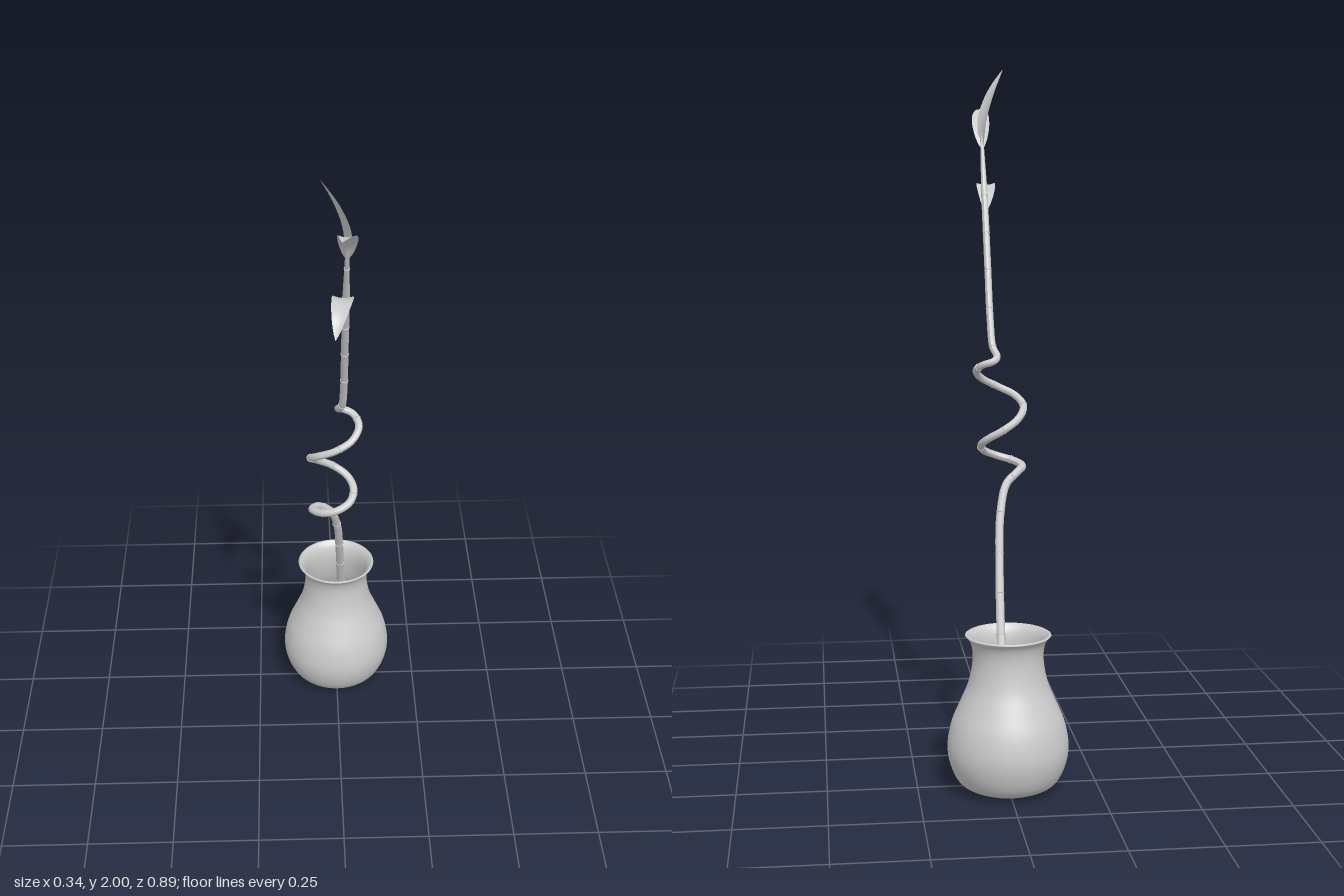
import * as THREE from 'three';

const grey = new THREE.MeshStandardMaterial({ color: 0xcccccc });
const greyThin = new THREE.MeshStandardMaterial({ color: 0xcccccc, side: THREE.DoubleSide });
const V = (x, y, z) => new THREE.Vector3(x, y, z);

function add(parent, name, geometry, material = grey) {
  const mesh = new THREE.Mesh(geometry, material);
  mesh.name = name;
  parent.add(mesh);
  return mesh;
}

// Tube whose radius follows a rule along its length
function taperedTube(curve, segments, sides, radiusAt) {
  const geo = new THREE.TubeGeometry(curve, segments, 1, sides, false);
  const pos = geo.attributes.position;
  const p = V(0, 0, 0), c = V(0, 0, 0);
  for (let i = 0; i < pos.count; i++) {
    const t = Math.floor(i / (sides + 1)) / segments;
    curve.getPointAt(t, c);
    p.fromBufferAttribute(pos, i).sub(c).multiplyScalar(radiusAt(t)).add(c);
    pos.setXYZ(i, p.x, p.y, p.z);
  }
  geo.computeVertexNormals();
  return geo;
}

// Curved blade: a spine, a sideways direction, pointed at both ends, slightly folded
function leafGeometry(spine, side, halfWidth) {
  const curve = new THREE.CatmullRomCurve3(spine);
  const rows = 16, cols = 4, verts = [], index = [];
  for (let i = 0; i <= rows; i++) {
    const t = i / rows;
    const c = curve.getPointAt(t), tan = curve.getTangentAt(t);
    const s = side.clone().addScaledVector(tan, -side.dot(tan)).normalize();
    const n = V(0, 0, 0).crossVectors(tan, s);
    const w = halfWidth * Math.pow(Math.sin(Math.PI * Math.pow(0.04 + 0.96 * t, 0.9)), 0.8) || 0;
    for (let j = 0; j <= cols; j++) {
      const u = (j / cols) * 2 - 1;
      const p = c.clone().addScaledVector(s, u * w).addScaledVector(n, u * u * w * 0.2);
      verts.push(p.x, p.y, p.z);
      if (i < rows && j < cols) {
        const a = i * (cols + 1) + j, b = a + cols + 1;
        index.push(a, a + 1, b, a + 1, b + 1, b);
      }
    }
  }
  const geo = new THREE.BufferGeometry();
  geo.setAttribute('position', new THREE.Float32BufferAttribute(verts, 3));
  geo.setIndex(index);
  geo.computeVertexNormals();
  return geo;
}

function createVase() {
  const vase = new THREE.Group();
  vase.name = 'vase';
  // Outer wall from the foot to the flared rim
  const outer = new THREE.SplineCurve([
    [0.095, 0.004], [0.135, 0.025], [0.159, 0.07], [0.168, 0.125], [0.157, 0.19], [0.132, 0.25],
    [0.111, 0.3], [0.1, 0.35], [0.098, 0.39], [0.105, 0.42], [0.119, 0.438],
  ].map(([r, y]) => new THREE.Vector2(r, y))).getPoints(44);
  const inner = outer.slice(2).reverse().map((p) => new THREE.Vector2(p.x - 0.005, p.y + 0.003));
  const profile = [new THREE.Vector2(0, 0), new THREE.Vector2(0.08, 0), ...outer, ...inner, new THREE.Vector2(0, 0.012)];
  add(vase, 'vaseBody', new THREE.LatheGeometry(profile, 64));

  // Uneven fill that holds the stem
  const fill = new THREE.RingGeometry(0.001, 0.163, 40, 10).rotateX(-Math.PI / 2);
  const pos = fill.attributes.position;
  for (let i = 0; i < pos.count; i++) {
    const x = pos.getX(i), z = pos.getZ(i);
    pos.setY(i, 0.12 + 0.003 * Math.sin(x * 130 + z * 60) * Math.cos(z * 150 - x * 40));
  }
  fill.computeVertexNormals();
  add(vase, 'fill', fill, greyThin);
  vase.position.z = -0.277;
  return vase;
}

function createStem() {
  const stem = new THREE.Group();
  stem.name = 'stem';
  // Leaning shoot, two turns of spiral, then a straight leaning top
  const curve = new THREE.CatmullRomCurve3([
    V(0.013, 0.1, -0.345), V(0.013, 0.27, -0.27), V(0.011, 0.44, -0.193), V(0.006, 0.6, -0.12),
    V(-0.003, 0.73, -0.062), V(-0.025, 0.81, -0.02), V(-0.058, 0.84, 0.0), V(-0.078, 0.853, 0.035),
    V(-0.055, 0.864, 0.07), V(-0.012, 0.876, 0.083), V(0.03, 0.895, 0.065), V(0.042, 0.918, 0.03),
    V(0.025, 0.94, -0.005), V(-0.015, 0.965, -0.021), V(-0.06, 0.995, -0.005), V(-0.081, 1.028, 0.035),
    V(-0.06, 1.056, 0.07), V(-0.012, 1.08, 0.084), V(0.035, 1.105, 0.07), V(0.056, 1.132, 0.035),
    V(0.04, 1.152, 0.0), V(0.01, 1.163, -0.008), V(-0.002, 1.175, 0.01), V(0.008, 1.2, 0.035),
    V(0.012, 1.28, 0.069), V(0.012, 1.42, 0.129), V(0.012, 1.59, 0.203), V(0.012, 1.78, 0.287),
    V(0.012, 1.84, 0.313),
  ], false, 'centripetal');
  curve.arcLengthDivisions = 600;
  const radiusAt = (t) => 0.0125 - 0.003 * t - 0.006 * Math.max(0, (t - 0.9) / 0.1);
  add(stem, 'cane', taperedTube(curve, 260, 10, radiusAt));

  // Raised nodes along the cane
  const nodes = 20;
  for (let i = 1; i < nodes; i++) {
    const t = i / nodes, r = radiusAt(t);
    const node = add(stem, 'node', new THREE.TorusGeometry(r, 0.0016, 5, 12));
    node.position.copy(curve.getPointAt(t));
    node.quaternion.setFromUnitVectors(V(0, 0, 1), curve.getTangentAt(t));
  }
  return stem;
}

function createLeaves() {
  const leaves = new THREE.Group();
  leaves.name = 'leaves';
  add(leaves, 'lowerLeaf', leafGeometry([
    V(0.01, 1.59, 0.2), V(0.005, 1.637, 0.24), V(0, 1.66, 0.3), V(-0.01, 1.645, 0.355), V(-0.02, 1.595, 0.388),
  ], V(1, 0, 0.1), 0.028), greyThin);
  add(leaves, 'outerLeaf', leafGeometry([
    V(0.012, 1.77, 0.283), V(0.012, 1.82, 0.315), V(0.01, 1.858, 0.355), V(0.003, 1.88, 0.4), V(-0.006, 1.888, 0.444),
  ], V(1, 0, 0.1), 0.026), greyThin);
  add(leaves, 'topLeaf', leafGeometry([
    V(0.012, 1.77, 0.283), V(0.006, 1.85, 0.298), V(-0.02, 1.93, 0.316), V(-0.055, 2.0, 0.333),
  ], V(0.4, 0, 0.9), 0.028), greyThin);
  return leaves;
}

export function createModel() {
  const model = new THREE.Group();
  model.name = 'pottedSpiralCane';
  model.add(createVase(), createStem(), createLeaves());
  return model;
}
